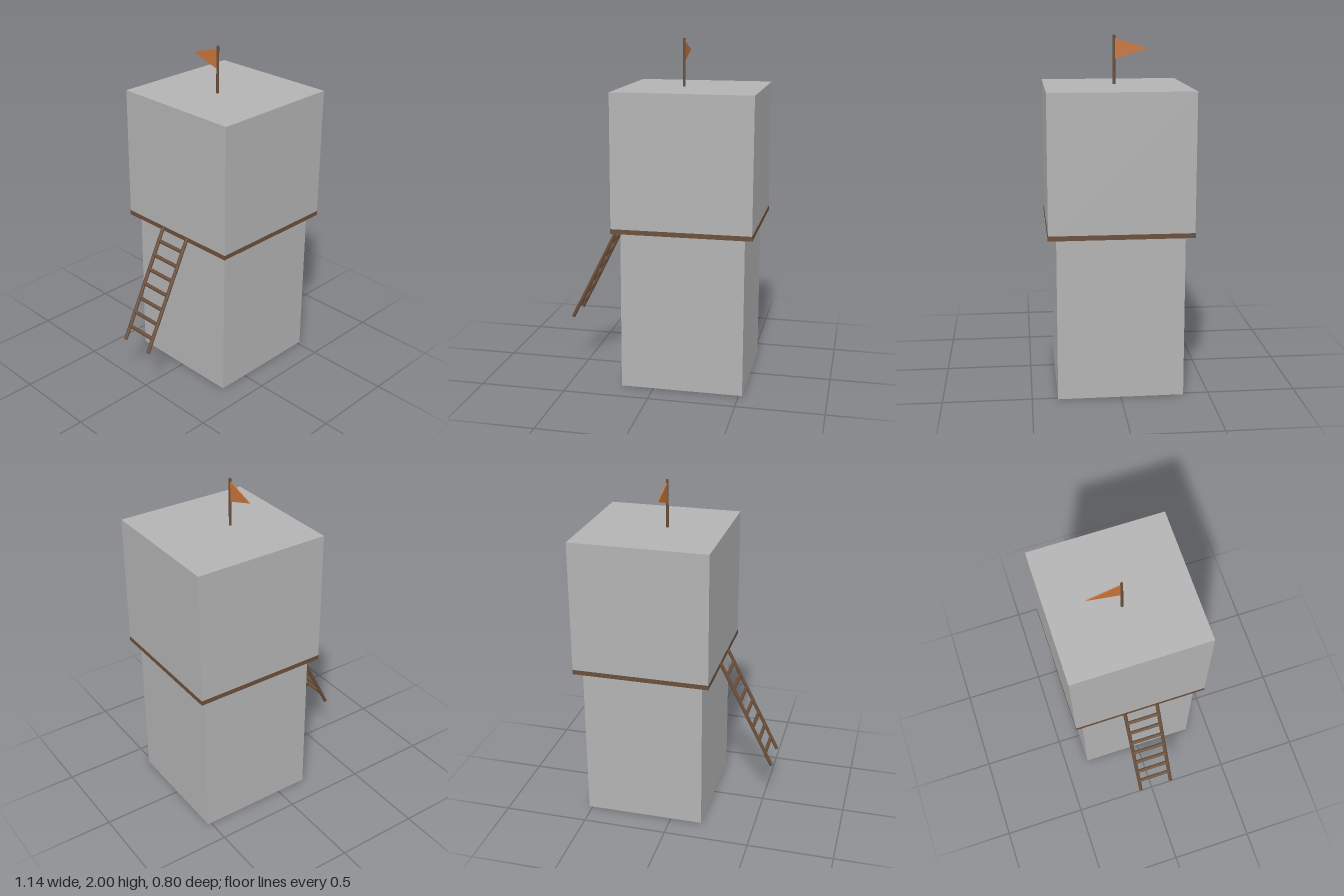
import * as THREE from 'three';

const mat = (name, color) => Object.assign(new THREE.MeshStandardMaterial({ color }), { name });

export function createModel() {
  const model = new THREE.Group();
  model.name = 'watchtower';
  const grey = mat('grey wall', 0xb3b3b3);
  const wood = mat('brown wood', 0x6b4f3a);
  const orange = mat('orange cloth', 0xc8743a);
  orange.side = THREE.DoubleSide;

  const add = (parent, name, geometry, material, x = 0, y = 0, z = 0) => {
    const mesh = new THREE.Mesh(geometry, material);
    mesh.name = name;
    mesh.position.set(x, y, z);
    parent.add(mesh);
    return mesh;
  };
  const box = (name, w, y0, y1, material) =>
    add(model, name, new THREE.BoxGeometry(w, y1 - y0, w), material, cx, (y0 + y1) / 2, 0);

  // A round pole between two points
  const pole = (parent, name, a, b, radius, sides = 8) => {
    const geometry = new THREE.CylinderGeometry(radius, radius, a.distanceTo(b), sides);
    const mesh = add(parent, name, geometry, wood);
    mesh.position.copy(a).lerp(b, 0.5);
    mesh.quaternion.setFromUnitVectors(new THREE.Vector3(0, 1, 0), b.clone().sub(a).normalize());
  };
  const v = (x, y, z) => new THREE.Vector3(x, y, z);

  // Tower body, cabin and the floor edge between them
  const cx = 0.166;
  box('towerBase', 0.71, 0.002, 0.931, grey);
  box('cabin', 0.8, 0.9295, 1.725, grey);
  box('platformEdge', 0.803, 0.93, 0.957, wood);

  // Corner posts, only their feet show below the base
  for (const sx of [-1, 1]) for (const sz of [-1, 1]) {
    pole(model, 'cornerPost', v(cx + sx * 0.325, 0, sz * 0.325), v(cx + sx * 0.325, 0.93, sz * 0.325), 0.024);
  }

  // Leaning ladder
  const ladder = new THREE.Group();
  ladder.name = 'ladder';
  model.add(ladder);
  const foot = [-0.56, 0.314], head = [-0.239, 0.954];
  for (const z of [-0.1, 0.1]) {
    pole(ladder, 'ladderRail', v(...foot, z), v(...head, z), 0.011);
  }
  for (let i = 0; i < 7; i++) {
    const x = -0.52 + i * 0.0405;
    const y = foot[1] + (x - foot[0]) * (head[1] - foot[1]) / (head[0] - foot[0]);
    pole(ladder, 'ladderRung', v(x, y, -0.1), v(x, y, 0.1), 0.011);
  }

  // Flagpole and pennant flying towards the back
  pole(model, 'flagpole', v(0.105, 1.72, 0), v(0.105, 2, 0), 0.008);
  const pennant = new THREE.Shape([[0, 1.985], [0, 1.865], [0.19, 1.925]].map(p => new THREE.Vector2(...p)));
  const flag = add(model, 'flag', new THREE.ExtrudeGeometry(pennant, { depth: 0.005, bevelEnabled: false }), orange, 0.1025, 0, 0);
  flag.rotation.y = Math.PI / 2;

  return model;
}
